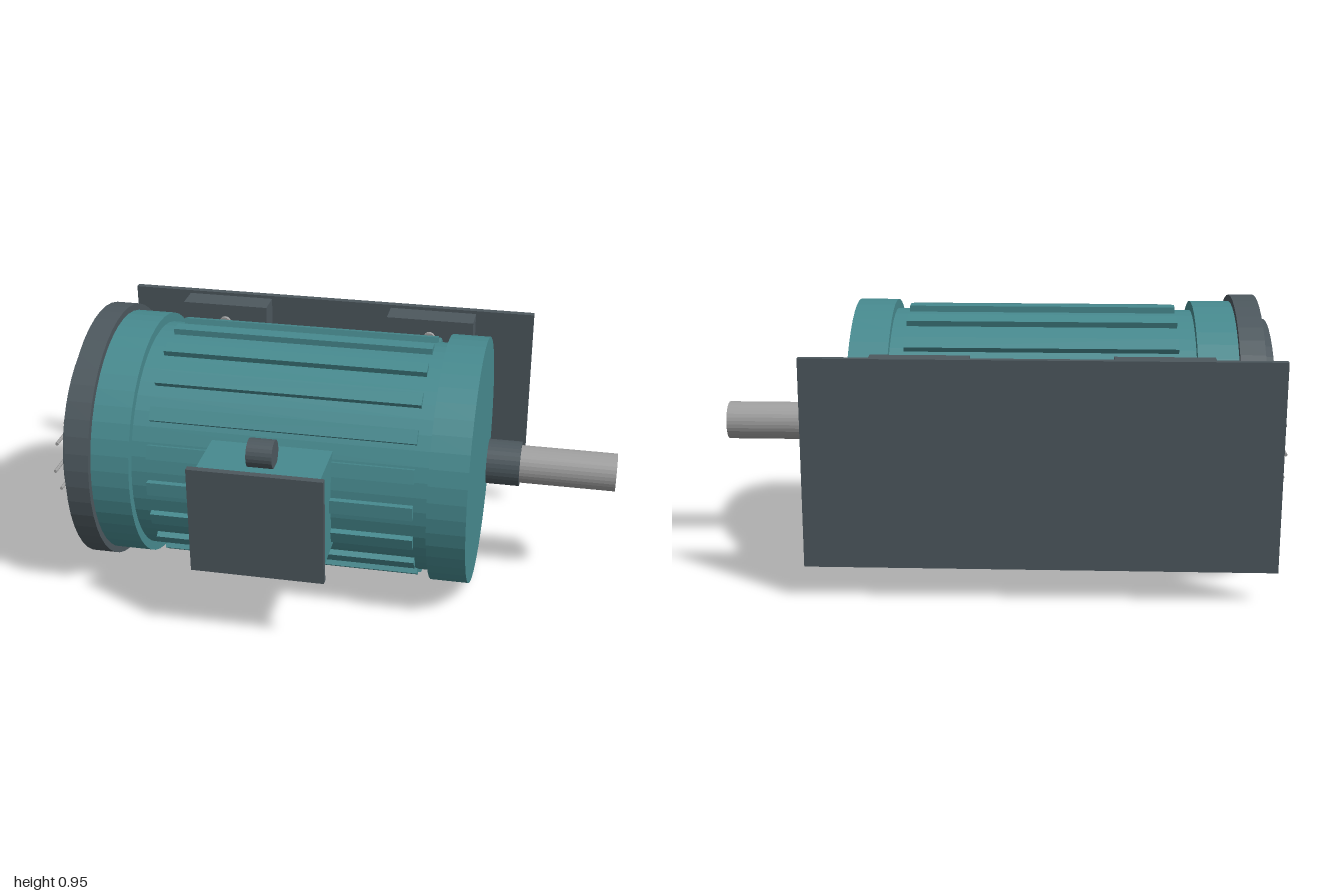
import * as THREE from 'three';

const AXIS_Y = 0.477, AXIS_Z = -0.03;

const paint = (color) => new THREE.MeshStandardMaterial({ color, flatShading: true });

export function createModel() {
  const model = new THREE.Group();
  model.name = 'electricMotor';
  const teal = paint(0x478a8f), dark = paint(0x4d585e), steel = paint(0xa0a0a0), brass = paint(0x8a6535);

  function add(name, geometry, material, parent = model) {
    const mesh = new THREE.Mesh(geometry, material);
    mesh.name = name;
    parent.add(mesh);
    return mesh;
  }

  // box given by its extents
  function box(name, [x0, x1], [y0, y1], [z0, z1], material) {
    const mesh = add(name, new THREE.BoxGeometry(x1 - x0, y1 - y0, z1 - z0), material);
    mesh.position.set((x0 + x1) / 2, (y0 + y1) / 2, (z0 + z1) / 2);
    return mesh;
  }

  // cylinder along x, on the motor axis unless told otherwise
  function drum(name, x0, x1, radius, material, sides = 48, y = AXIS_Y, z = AXIS_Z) {
    const geometry = new THREE.CylinderGeometry(radius, radius, x1 - x0, sides).rotateZ(-Math.PI / 2);
    const mesh = add(name, geometry, material);
    mesh.position.set((x0 + x1) / 2, y, z);
    return mesh;
  }

  // housing, end bells, fan cowl
  drum('housing', -0.69, 0.37, 0.42, teal);
  drum('rearEndBell', -0.83, -0.69, 0.453, teal);
  drum('frontEndBell', 0.37, 0.507, 0.453, teal);
  drum('fanCowl', -0.917, -0.83, 0.477, dark);
  drum('fanCover', -0.957, -0.917, 0.39, dark);

  // cooling fins around the housing
  const fins = new THREE.Group();
  fins.name = 'coolingFins';
  fins.position.set(-0.155, AXIS_Y, AXIS_Z);
  model.add(fins);
  const finGeometry = new THREE.BoxGeometry(0.95, 0.05, 0.05).translate(0, 0, 0.415);
  for (let i = 0; i < 20; i++) {
    add('coolingFin', finGeometry, teal, fins).rotation.x = (i / 20) * Math.PI * 2;
  }

  // grille bars behind the fan cover, staggered around a ring
  const barGeometry = new THREE.CylinderGeometry(0.006, 0.006, 0.5, 8).rotateX(Math.PI / 2);
  for (let i = 0; i < 8; i++) {
    const a = (i / 8) * Math.PI * 2;
    add('grilleBar', barGeometry, steel)
      .position.set(-0.994, AXIS_Y + 0.13 * Math.cos(a), AXIS_Z + 0.13 * Math.sin(a));
  }

  // output shaft and its collar
  drum('shaftCollar', 0.535, 0.655, 0.082, dark, 32);
  drum('outputShaft', 0.6, 1, 0.069, steel, 32);

  // terminal box with lid and cable gland
  box('terminalBox', [-0.4, 0.03], [0.293, 0.663], [0.3, 0.573], teal);
  box('terminalBoxLid', [-0.423, 0.048], [0.28, 0.677], [0.57, 0.594], dark);
  drum('cableGland', -0.23, -0.14, 0.05, dark, 24, 0.706, 0.485);

  // rating plate under the housing
  box('ratingPlate', [-0.27, 0.035], [0.04, 0.052], [AXIS_Z - 0.075, AXIS_Z + 0.075], brass);

  // mounting plate with four bolted feet
  box('mountingPlate', [-0.96, 0.64], [0.116, 0.84], [-0.592, -0.567], dark);
  const boltGeometry = new THREE.CylinderGeometry(0.023, 0.023, 0.03, 16).rotateX(Math.PI / 2);
  for (const x of [-0.568, 0.248]) {
    for (const y of [0.199, 0.757]) {
      box('mountingFoot', [x - 0.168, x + 0.168], [y - 0.071, y + 0.071], [-0.568, -0.47], dark);
      add('footBolt', boltGeometry, steel).position.set(x, y, -0.471);
    }
  }

  return model;
}
